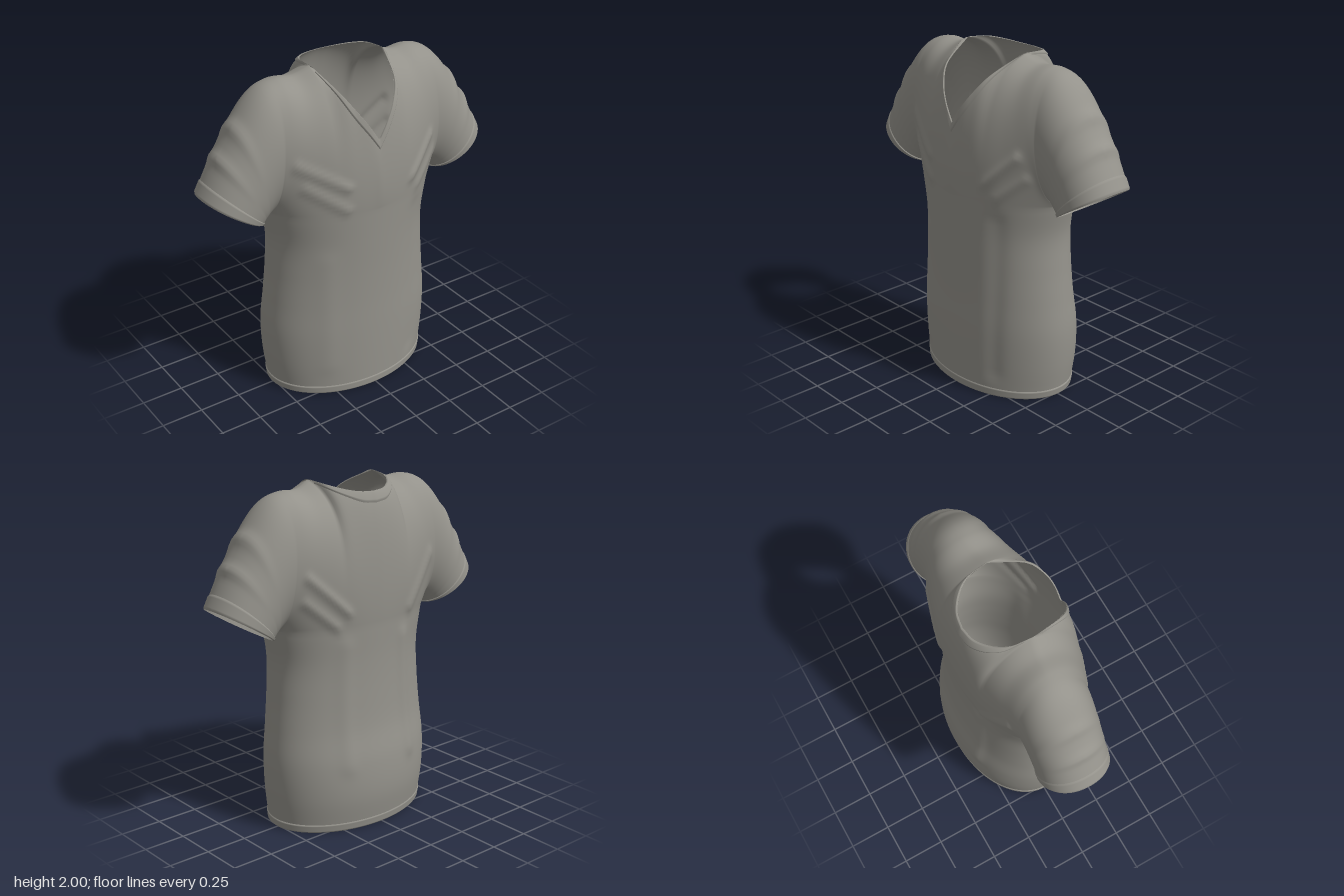
import * as THREE from 'three';
import { mergeVertices } from 'three/addons/utils/BufferGeometryUtils.js';

const V = (x, y, z) => new THREE.Vector3(x, y, z);
const curve = (...pts) => new THREE.CatmullRomCurve3(pts.map(p => V(...p)), false, 'catmullrom', 0.5);
const FRONT = 1, BACK = -1, CHEST = 1.2, NECK = 0.3;

// Torso sizes every 0.2 of height: half width, front depth, back depth
const torso = curve([.51, .35, .34], [.535, .352, .368], [.542, .352, .36], [.525, .35, .325],
  [.507, .352, .31], [.5, .358, .305], [.535, .365, .31]);

// Neck edges from the centre to the shoulder, then the shoulder line down to the cuff
const neck = {
  [FRONT]: curve([0, 1.62, .345], [.06, 1.715, .335], [.12, 1.805, .3], [.18, 1.9, .22], [.235, 1.995, .03]),
  [BACK]: curve([0, 1.945, -.245], [.09, 1.95, -.225], [.17, 1.968, -.165], [.22, 1.985, -.085], [.235, 1.995, .03]),
};
const shoulder = curve([.235, 1.995, .03], [.33, 1.96, .01], [.44, 1.962, 0], [.55, 1.925, 0],
  [.66, 1.81, 0], [.8, 1.6, 0], [.92, 1.38, 0]);

// Handle heights and depths from the centre to the armhole: lower rise, upper drop / lower depth, upper depth
const rise = {
  [FRONT]: curve([.14, .12, 0], [.31, .085, 0], [.33, .06, 0], [.22, .03, 0], [0, 0, 0]),
  [BACK]: curve([.3, .1, 0], [.32, .08, 0], [.33, .06, 0], [.22, .03, 0], [0, 0, 0]),
};
const bulge = {
  [FRONT]: curve([.385, .375, 0], [.365, .315, 0], [.31, .295, 0], [.285, .29, 0], [.285, .285, 0]),
  [BACK]: curve([.34, .315, 0], [.33, .3, 0], [.3, .29, 0], [.285, .285, 0], [.285, .285, 0]),
};

// Cloth folds: side, start x and y, end x and y, height, width
const folds = [
  [FRONT, -.46, 1.54, -.2, 1.38, .014, .025], [FRONT, -.42, 1.4, -.2, 1.24, .012, .025],
  [FRONT, .24, 1.32, .42, 1.5, .016, .025], [FRONT, .3, 1.24, .46, 1.38, .01, .025],
  [FRONT, .28, .15, .3, 1.1, -.008, .05], [FRONT, -.3, .2, -.3, .9, .005, .06],
  [BACK, .22, 1.3, .45, 1.52, .014, .025], [BACK, .28, 1.22, .46, 1.38, .012, .025],
  [BACK, -.45, 1.52, -.25, 1.25, .014, .03], [BACK, -.22, .4, -.2, 1.1, .012, .04],
  [BACK, .24, .4, .22, 1.1, .008, .05],
];
const bell = (d, w) => Math.exp(-d * d / (w * w));

function addFolds(p, side) {
  for (const [fs, ax, ay, bx, by, h, w] of folds) {
    if (fs !== side) continue;
    const dx = bx - ax, dy = by - ay;
    const k = THREE.MathUtils.clamp(((p.x - ax) * dx + (p.y - ay) * dy) / (dx * dx + dy * dy), 0, 1);
    const d = Math.hypot(p.x - ax - k * dx, p.y - ay - k * dy);
    p.z += side * h * bell(d, w) * Math.min(1, Math.abs(p.z) / .15);
  }
  return p;
}

// Point on the torso: s from -1 (right side) to 1 (left side)
function ring(s, y, side) {
  const size = torso.getPoint(y / CHEST), a = s * Math.PI / 2;
  return V(size.x * Math.sin(a), y, side * (side > 0 ? size.y : size.z) * Math.cos(a));
}

// Cross-section handles: s 0 to 1 crosses the chest, 1 to 2 runs down the sleeve
function section(s, side) {
  const base = s <= 1 ? ring(s, CHEST, side) : V(.535, 1.2, 0).lerp(V(.58, 1.165, 0), s - 1);
  const top = s <= NECK ? neck[side].getPoint(s / NECK)
    : shoulder.getPoint(Math.min(1, (s - NECK) / (2 - NECK)));
  const r = rise[side].getPoint(Math.min(1, s)), b = bulge[side].getPoint(Math.min(1, s));
  const shrink = 1 - .06 * Math.max(0, s - 1);
  return new THREE.CubicBezierCurve3(base,
    V(base.x, base.y + r.x, side * b.x * shrink), V(top.x, top.y - r.y, side * b.y * shrink), top);
}

// Point on the chest, shoulder or sleeve; t runs from the chest line up to the neck or shoulder
function upper(u, t, side) {
  const s = Math.abs(u), p = section(s, side).getPoint(t);
  const ripple = t * t * .016 * (bell(s - 1.53, .045) + bell(s - 1.73, .035));
  p.x += .85 * ripple;
  p.y += .5 * ripple;
  if (u < 0) p.x = -p.x;
  return addFolds(p, side);
}

// Joins rectangular sheets of points into one smooth welded mesh
function cloth(name, material, sheets) {
  const pos = [], idx = [];
  for (const { u0, u1, nu, nv, side, at } of sheets) {
    const start = pos.length / 3;
    for (let j = 0; j <= nv; j++) for (let i = 0; i <= nu; i++) {
      pos.push(...at(u0 + (u1 - u0) * i / nu, j / nv, side).toArray());
    }
    for (let j = 0; j < nv; j++) for (let i = 0; i < nu; i++) {
      const a = start + j * (nu + 1) + i, b = a + 1, c = b + nu + 1, d = c - 1;
      if (side > 0) idx.push(a, b, c, a, c, d);
      else idx.push(a, c, b, a, d, c);
    }
  }
  let g = new THREE.BufferGeometry();
  g.setAttribute('position', new THREE.Float32BufferAttribute(pos, 3));
  g.setIndex(idx);
  g = mergeVertices(g, 1e-4);
  g.computeVertexNormals();
  const mesh = new THREE.Mesh(g, material);
  mesh.name = name;
  return mesh;
}

const bothSides = sheet => [FRONT, BACK].map(side => ({ ...sheet, side }));
const raised = v => Math.min(1, 8 * Math.min(v, 1 - v));

export function createModel() {
  const fabric = new THREE.MeshStandardMaterial({ color: 0x94928b, side: THREE.DoubleSide });
  fabric.name = 'grey fabric';
  const shirt = new THREE.Group();
  shirt.name = 'shirt';

  // Torso, shoulders and sleeves in one piece
  shirt.add(cloth('bodyAndSleeves', fabric, [
    ...bothSides({ u0: -1, u1: 1, nu: 80, nv: 40, at: (u, v, side) => addFolds(ring(u, v * CHEST, side), side) }),
    ...bothSides({ u0: -2, u1: 2, nu: 160, nv: 40, at: upper }),
  ]));

  // Collar band along the V neck and the back of the neck
  const collar = (u, v, side) => {
    const c = section(Math.abs(u), side);
    const width = .055 / (3 * c.v2.distanceTo(c.v3));
    const lift = .006 * raised(v);
    return upper(u, 1 - width * (1 - v), side).add(V(0, .7 * lift, side * lift));
  };
  shirt.add(cloth('collar', fabric, bothSides({ u0: -NECK, u1: NECK, nu: 48, nv: 16, at: collar })));

  // Bottom hem
  const hem = (u, v, side) => {
    const k = 1 + .012 * raised(v);
    return ring(u, v * .05, side).multiply(V(k, 1, k));
  };
  shirt.add(cloth('hem', fabric, bothSides({ u0: -1, u1: 1, nu: 80, nv: 16, at: hem })));

  // Sleeve cuffs
  const cuff = (u, v, side) => {
    const c = section(Math.abs(u), side);
    const middle = c.v0.clone().lerp(c.v3, .5);
    if (u < 0) middle.x = -middle.x;
    const p = upper(u, v, side);
    return p.add(p.clone().sub(middle).multiplyScalar(.025 * raised((2 - Math.abs(u)) / .1)));
  };
  shirt.add(cloth('leftCuff', fabric, bothSides({ u0: 1.9, u1: 2, nu: 16, nv: 40, at: cuff })));
  shirt.add(cloth('rightCuff', fabric, bothSides({ u0: -2, u1: -1.9, nu: 16, nv: 40, at: cuff })));

  return shirt;
}
